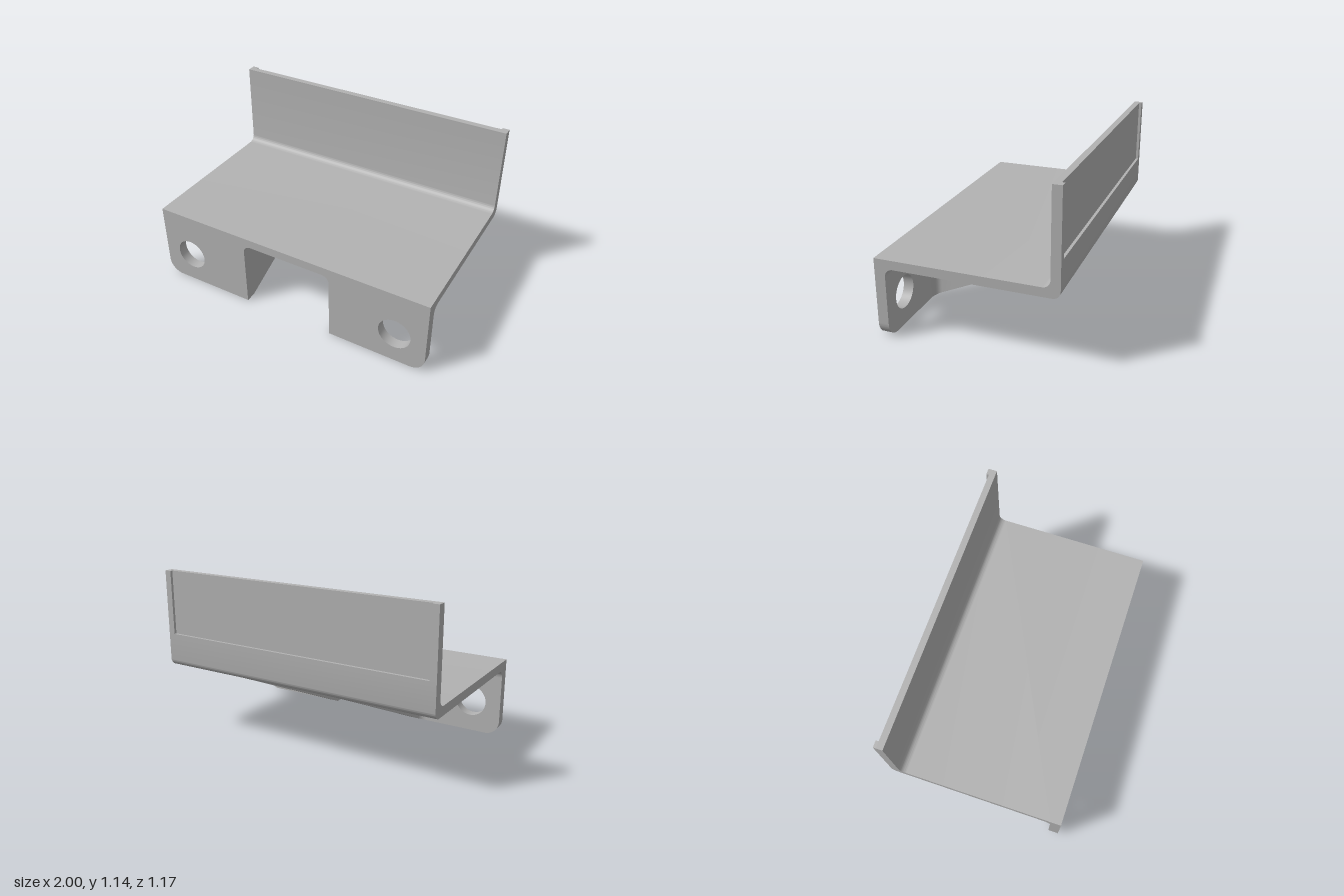
import * as THREE from 'three';
import { toCreasedNormals } from 'three/addons/utils/BufferGeometryUtils.js';

const R = 0.055;                       // fillet radius
const UNDER = 0.48, TOP = 0.54;        // shelf underside and top
const FRONT = 0.585, FLANGE = 0.515;   // front flange faces (z)
const NOTCH = 0.323, WEB = 0.065;      // notch half width, gusset thickness
const TIP = -0.545;                    // where the gusset meets the shelf

export function createModel() {
  const group = new THREE.Group();
  group.name = 'mountingBracket';
  const metal = new THREE.MeshStandardMaterial({ color: 0xb2b2b2 });
  metal.name = 'grey metal';

  const add = (name, geometry) => {
    const mesh = new THREE.Mesh(toCreasedNormals(geometry, 0.5), metal);
    mesh.name = name;
    group.add(mesh);
  };
  // side profile drawn as (-z, y), extruded along x
  const alongX = (shape, x0, x1) =>
    new THREE.ExtrudeGeometry(shape, { depth: x1 - x0, bevelEnabled: false, curveSegments: 10 })
      .rotateY(Math.PI / 2).translate(x0, 0, 0);

  // shelf bending up into the back plate, thinner above the label recess
  const p = new THREE.Shape();
  p.moveTo(-FLANGE, UNDER);
  p.lineTo(0.585 - 0.05, UNDER);
  p.absarc(0.535, UNDER + 0.05, 0.05, -Math.PI / 2, 0, false);
  p.lineTo(0.585, 0.71);
  p.lineTo(0.567, 0.71);
  p.lineTo(0.567, 1.145);
  p.lineTo(0.525, 1.145);
  p.lineTo(0.525, TOP + 0.05);
  p.absarc(0.475, TOP + 0.05, 0.05, 0, -Math.PI / 2, true);
  p.lineTo(-FLANGE, TOP);
  add('shelfAndBackPlate', alongX(p, -1, 1));

  // front flange with notch, rounded corners and two holes
  const f = new THREE.Shape();
  f.moveTo(-1, TOP);
  f.lineTo(-1, 0.1);
  f.absarc(-0.9, 0.1, 0.1, Math.PI, Math.PI * 1.5, false);
  f.lineTo(-NOTCH, 0);
  f.lineTo(-NOTCH, UNDER - R);
  f.absarc(-NOTCH + R, UNDER - R, R, Math.PI, Math.PI / 2, true);
  f.lineTo(NOTCH - R, UNDER);
  f.absarc(NOTCH - R, UNDER - R, R, Math.PI / 2, 0, true);
  f.lineTo(NOTCH, 0);
  f.lineTo(0.9, 0);
  f.absarc(0.9, 0.1, 0.1, -Math.PI / 2, 0, false);
  f.lineTo(1, TOP);
  for (const s of [-1, 1]) {
    const hole = new THREE.Path();
    hole.absarc(s * 0.785, 0.222, 0.11, 0, Math.PI * 2, true);
    f.holes.push(hole);
  }
  add('frontFlange', new THREE.ExtrudeGeometry(f, {
    depth: FRONT - FLANGE, bevelEnabled: false, curveSegments: 20,
  }).translate(0, 0, FLANGE));

  // fillet strip between flange and shelf
  const c = new THREE.Shape();
  c.moveTo(-FLANGE, UNDER);
  c.lineTo(-FLANGE, UNDER - R);
  c.absarc(-FLANGE + R, UNDER - R, R, Math.PI, Math.PI / 2, true);

  for (const s of [-1, 1]) {
    const side = s > 0 ? 'left' : 'right';
    const inner = NOTCH + WEB / 2;
    add(side + 'FlangeFillet', s > 0 ? alongX(c, inner, 1) : alongX(c, -1, -inner));
    add(side + 'Gusset', gusset(s));
    // rim beside the recess
    add(side + 'RecessRim', new THREE.BoxGeometry(0.045, 0.435, 0.018)
      .translate(s * 0.9775, 0.9275, -0.576));
  }
  return group;
}

// how far a fillet flares at distances v and w from its two neighbouring walls
function flare(v, w) {
  const a = Math.max(0, R - v), b = Math.max(0, R - w);
  return R - Math.sqrt(Math.max(0, R * R - a * a - b * b));
}

// triangular web, lofted along z, with fillets into shelf and flange
function gusset(s) {
  const N = 8, zs = [];
  for (let i = 0; i <= N; i++) zs.push(FLANGE - R * (1 - Math.cos((i / N) * Math.PI / 2)));
  for (let i = 1; i <= 10; i++) zs.push(FLANGE - R + (TIP + 0.125 - FLANGE + R) * i / 10);
  for (let i = 1; i <= N; i++) zs.push(TIP + 0.125 * (1 - i / N));

  const pos = [], index = [], ring = 2 * (N + 2);
  zs.forEach((z) => {
    const depth = UNDER * (1 - (FLANGE - z) / (FLANGE - TIP));
    const ds = [];
    for (let k = 0; k <= N; k++) ds.push(Math.min(R, depth) * (1 - Math.cos((k / N) * Math.PI / 2)));
    ds.push(depth);
    for (const d of ds) pos.push(s * (NOTCH - flare(d, R)), UNDER - d, z);
    for (const d of ds.reverse()) pos.push(s * (NOTCH + WEB + flare(d, FLANGE - z)), UNDER - d, z);
  });
  for (let i = 0; i < zs.length - 1; i++) {
    for (let j = 0; j < ring - 1; j++) {
      const a = i * ring + j, b = a + 1, e = a + ring, g = e + 1;
      if (s > 0) index.push(a, e, b, b, e, g);
      else index.push(a, b, e, b, g, e);
    }
  }
  const geo = new THREE.BufferGeometry();
  geo.setAttribute('position', new THREE.Float32BufferAttribute(pos, 3));
  geo.setIndex(index);
  return geo;
}
